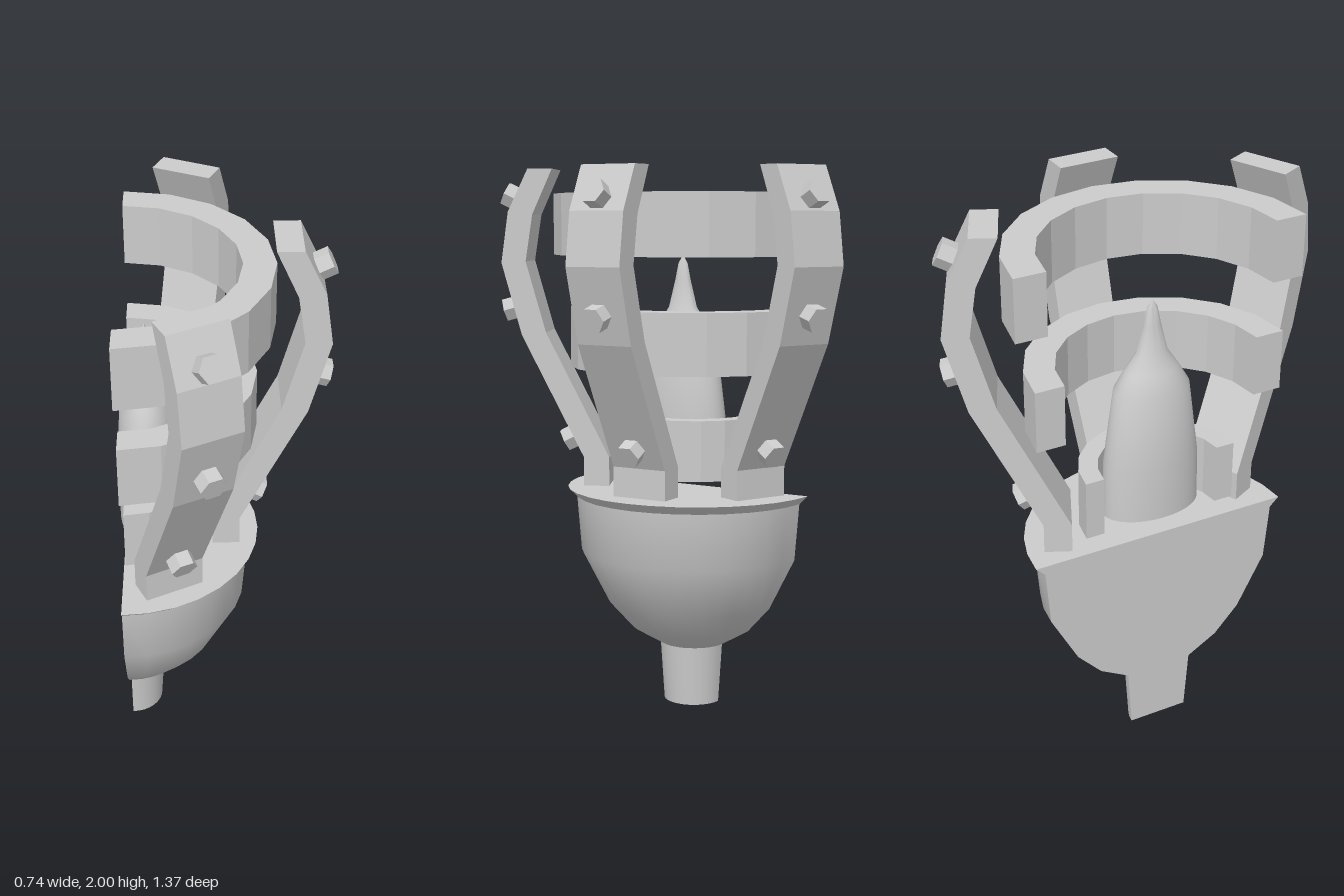
import * as THREE from 'three';
import { toCreasedNormals } from 'three/addons/utils/BufferGeometryUtils.js';

const AXIS = -0.35; // x of the wall plane, where the half-round parts are centred
const vecs = (pairs) => pairs.map(([x, y]) => new THREE.Vector2(x, y));

export function createModel() {
  const model = new THREE.Group();
  const grey = new THREE.MeshStandardMaterial({ color: 0xcccccc });
  const add = (name, geometry, parent = model) => {
    const mesh = new THREE.Mesh(geometry, grey);
    mesh.name = name;
    parent.add(mesh);
    return mesh;
  };

  // Half-round bowl with its stem, closed by a flat back
  const bowlProfile = vecs([
    [0, 0], [0.11, 0], [0.125, 0.225], [0.235, 0.29], [0.325, 0.39],
    [0.425, 0.585], [0.442, 0.795], [0.475, 0.827], [0, 0.827],
  ]);
  const bowl = new THREE.Group();
  bowl.name = 'bowl';
  bowl.position.x = AXIS;
  model.add(bowl);
  add('bowlShell', toCreasedNormals(new THREE.LatheGeometry(bowlProfile, 16, 0, Math.PI), 0.6), bowl);
  const half = bowlProfile.slice(1, -1);
  const mirrored = half.map((p) => new THREE.Vector2(-p.x, p.y)).reverse();
  const back = add('bowlBack', new THREE.ShapeGeometry(new THREE.Shape([...half, ...mirrored])), bowl);
  back.rotation.y = -Math.PI / 2;

  // Half rings: inner radius, outer radius, bottom height
  const arc = (r) => Array.from({ length: 11 }, (_, i) => {
    const a = (i / 10 - 0.5) * Math.PI;
    return new THREE.Vector2(r * Math.cos(a), r * Math.sin(a));
  });
  [
    ['lowerRing', 0.215, 0.282, 0.885],
    ['middleRing', 0.352, 0.455, 1.28],
    ['upperRing', 0.405, 0.515, 1.69],
  ].forEach(([name, inner, outer, y]) => {
    const shape = new THREE.Shape([...arc(outer), ...arc(inner).reverse()]);
    const geometry = new THREE.ExtrudeGeometry(shape, { depth: 0.22, bevelEnabled: false });
    geometry.rotateX(-Math.PI / 2);
    add(name, geometry).position.set(-0.34, y, 0);
  });

  // Bent straps around the rings, each with three hexagonal bolts
  const outerEdge = [[0.405, 0.835], [0.405, 0.943], [0.633, 1.395], [0.706, 1.66], [0.68, 1.845], [0.606, 2]];
  const innerEdge = [[0.516, 2], [0.59, 1.835], [0.616, 1.665], [0.543, 1.405], [0.31, 0.943], [0.31, 0.835]];
  const strapGeometry = new THREE.ExtrudeGeometry(
    new THREE.Shape(vecs([...outerEdge, ...innerEdge])), { depth: 0.212, bevelEnabled: false });
  strapGeometry.translate(0, 0, -0.106);
  const boltGeometry = toCreasedNormals(new THREE.CylinderGeometry(0.047, 0.047, 0.064, 6), 0.3);
  [['front', 63.4], ['left', -1.3], ['back', -66]].forEach(([side, degrees]) => {
    const strap = new THREE.Group();
    strap.name = side + 'Strap';
    strap.position.x = AXIS;
    strap.rotation.y = -THREE.MathUtils.degToRad(degrees);
    model.add(strap);
    add(side + 'StrapBar', strapGeometry, strap);
    // Height of the bolt, and the segment of the outer edge it sits on
    [[1.015, 1], [1.495, 2], [1.89, 4]].forEach(([y, s]) => {
      const [r0, y0] = outerEdge[s];
      const [r1, y1] = outerEdge[s + 1];
      const r = r0 + (r1 - r0) * (y - y0) / (y1 - y0);
      const normal = new THREE.Vector2(y1 - y0, r0 - r1).normalize();
      const bolt = add(side + 'StrapBolt', boltGeometry, strap);
      bolt.position.set(r + normal.x * 0.02, y + normal.y * 0.02, 0);
      bolt.rotation.z = -Math.atan2(normal.x, normal.y);
    });
  });

  // Oval pointed core, flattened towards the wall
  const coreProfile = vecs([
    [0, 0.9], [0.178, 0.9], [0.172, 1.1], [0.135, 1.37],
    [0.095, 1.44], [0.055, 1.5], [0.03, 1.6], [0.018, 1.66], [0, 1.69],
  ]);
  const core = new THREE.LatheGeometry(coreProfile, 32);
  const p = core.attributes.position;
  for (let i = 0; i < p.count; i++) {
    const t = THREE.MathUtils.clamp((p.getY(i) - 0.9) / 0.47, 0, 1);
    p.setX(i, p.getX(i) * (0.59 + 0.1 * t));
  }
  add('core', toCreasedNormals(core, 0.6)).position.x = -0.262;

  return model;
}
